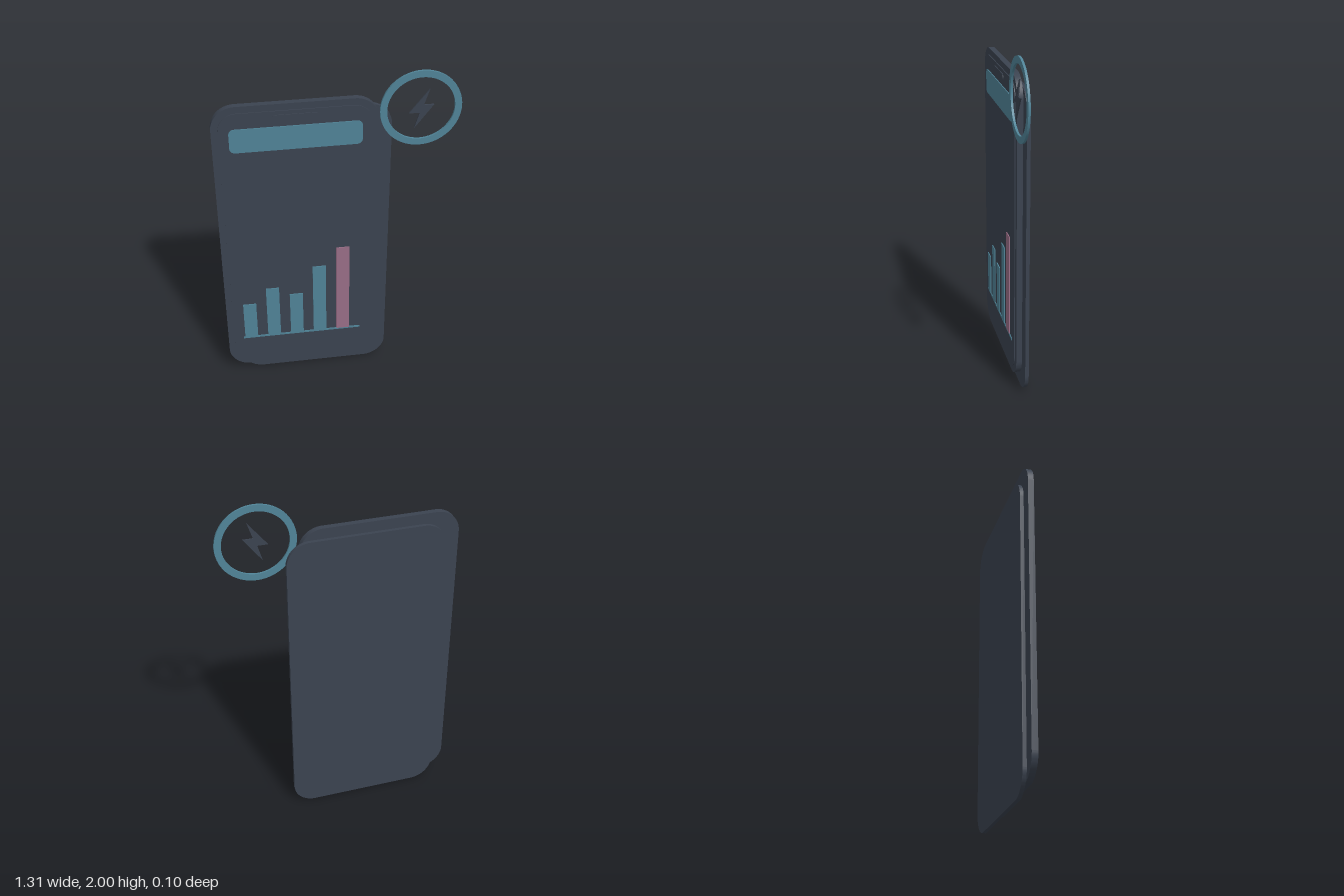
import * as THREE from 'three';
import { toCreasedNormals } from 'three/addons/utils/BufferGeometryUtils.js';

// Rounded rectangle outline from its edges
function roundedRect(x0, x1, y0, y1, r) {
  const s = new THREE.Shape();
  s.absarc(x1 - r, y0 + r, r, -Math.PI / 2, 0);
  s.absarc(x1 - r, y1 - r, r, 0, Math.PI / 2);
  s.absarc(x0 + r, y1 - r, r, Math.PI / 2, Math.PI);
  s.absarc(x0 + r, y0 + r, r, Math.PI, Math.PI * 1.5);
  s.closePath();
  return s;
}

export function createModel() {
  const model = new THREE.Group();
  model.name = 'phoneWithChart';

  const colour = (name, hex) => {
    const m = new THREE.MeshStandardMaterial({ color: hex });
    m.name = name;
    return m;
  };
  const slate = colour('slate', 0x3b4350);
  const teal = colour('teal', 0x508498);
  const rose = colour('rose', 0x996e87);

  // Slab of a shape between two depths
  const slab = (name, shape, z0, z1, material, segments = 12) => {
    const g = new THREE.ExtrudeGeometry(shape, { depth: z1 - z0, bevelEnabled: false, curveSegments: segments });
    const mesh = new THREE.Mesh(toCreasedNormals(g, 0.6), material);
    mesh.position.z = z0;
    mesh.name = name;
    model.add(mesh);
    return mesh;
  };
  const box = (name, x0, x1, y0, y1, z0, z1, material) => {
    const mesh = new THREE.Mesh(new THREE.BoxGeometry(x1 - x0, y1 - y0, z1 - z0), material);
    mesh.position.set((x0 + x1) / 2, (y0 + y1) / 2, (z0 + z1) / 2);
    mesh.name = name;
    model.add(mesh);
  };

  // Two offset phone bodies and the raised screen
  slab('backBody', roundedRect(-0.58, 0.302, 0, 1.79, 0.13), -0.052, -0.031, slate);
  slab('frontBody', roundedRect(-0.656, 0.226, 0.06, 1.848, 0.13), -0.029, 0.004, slate);
  slab('screen', roundedRect(-0.62, 0.19, 0.098, 1.81, 0.1), 0.004, 0.009, slate);
  slab('speaker', roundedRect(-0.335, -0.095, 1.754, 1.788, 0.016), 0.009, 0.013, slate);

  // Header panel and bar chart on the screen
  slab('header', roundedRect(-0.566, 0.138, 1.58, 1.72, 0.03), 0.009, 0.014, teal);
  box('chartBaseline', -0.566, 0.138, 0.276, 0.288, 0.009, 0.013, teal);
  [0.538, 0.643, 0.585, 0.775, 0.898].forEach((top, i) => {
    const x = -0.556 + i * 0.138;
    box('chartBar' + (i + 1), x, x + 0.077, 0.285, top, 0.009, 0.014, i === 4 ? rose : teal);
  });

  // Floating ring badge with a bolt
  const ring = new THREE.Shape().absarc(0, 0, 0.217, 0, Math.PI * 2);
  ring.holes.push(new THREE.Path().absarc(0, 0, 0.18, 0, Math.PI * 2, true));
  const bolt = new THREE.Shape([
    [0.04, 0.114], [-0.066, -0.021], [-0.009, -0.021],
    [-0.035, -0.111], [0.066, 0.023], [0.011, 0.023],
  ].map(([x, y]) => new THREE.Vector2(x, y)));
  for (const mesh of [
    slab('badgeRing', ring, 0.034, 0.046, teal, 32),
    slab('badgeBolt', bolt, 0.045, 0.052, slate),
  ]) {
    mesh.position.x = 0.437;
    mesh.position.y = 1.783;
  }

  return model;
}
